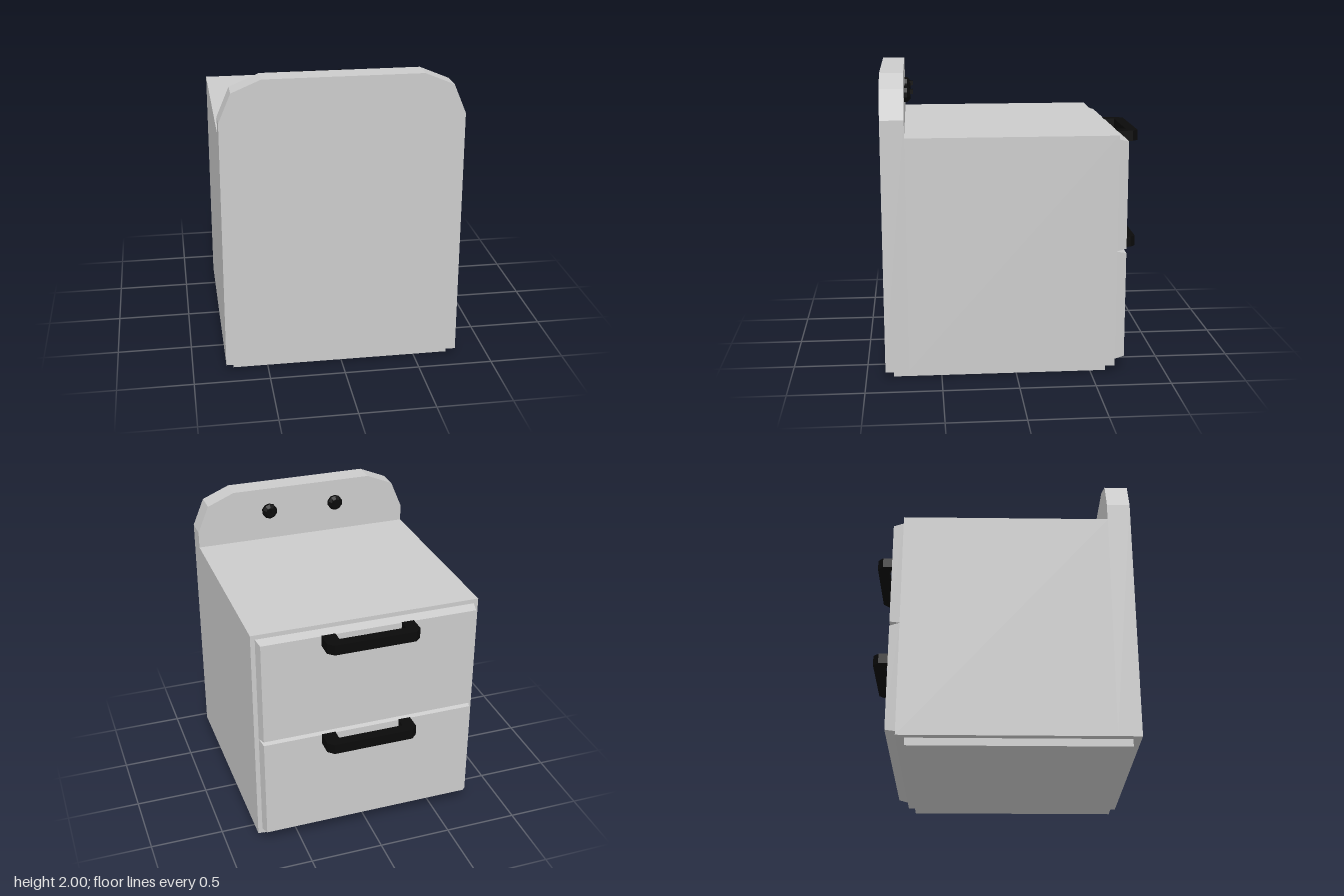
import * as THREE from 'three';

const grey = new THREE.MeshStandardMaterial({ color: 0xcccccc, flatShading: true });
const black = new THREE.MeshStandardMaterial({ color: 0x0a0a0a, flatShading: true });

function add(parent, name, geometry, material) {
  const mesh = new THREE.Mesh(geometry, material);
  mesh.name = name;
  parent.add(mesh);
  return mesh;
}

// Box given by its limits on each axis
function box(x0, x1, y0, y1, z0, z1) {
  return new THREE.BoxGeometry(x1 - x0, y1 - y0, z1 - z0)
    .translate((x0 + x1) / 2, (y0 + y1) / 2, (z0 + z1) / 2);
}

function extrude(points, depth) {
  const shape = new THREE.Shape(points.map(([x, y]) => new THREE.Vector2(x, y)));
  return new THREE.ExtrudeGeometry(shape, { depth, bevelEnabled: false });
}

// Drawer front whose outer face is inset on all four edges
function drawerGeometry(y0) {
  const geometry = box(-0.75, 0.75, y0, y0 + 0.75, -0.73, -0.66);
  const pos = geometry.attributes.position;
  const inset = 0.015, midY = y0 + 0.375;
  for (let i = 0; i < pos.count; i++) {
    if (pos.getZ(i) > -0.7) continue;
    pos.setX(i, pos.getX(i) - Math.sign(pos.getX(i)) * inset);
    pos.setY(i, pos.getY(i) - Math.sign(pos.getY(i) - midY) * inset);
  }
  geometry.computeVertexNormals();
  return geometry;
}

// U-shaped handle drawn in plan, thickened upwards
function handleGeometry() {
  return extrude([
    [-0.295, 0.725], [-0.21, 0.725], [-0.21, 0.8], [0.24, 0.8], [0.24, 0.725],
    [0.335, 0.725], [0.335, 0.835], [0.295, 0.873], [-0.255, 0.873], [-0.295, 0.835],
  ], 0.07).rotateX(-Math.PI / 2);
}

export function createModel() {
  const model = new THREE.Group();
  model.name = 'cabinet';

  // Carcass and recessed plinth
  add(model, 'plinth', box(-0.73, 0.73, 0, 0.05, -0.605, 0.82), grey);
  add(model, 'carcass', box(-0.78, 0.78, 0.05, 1.615, -0.66, 0.72), grey);

  // Tall panel with faceted upper corners
  const half = [[0.78, 0.05], [0.78, 1.73], [0.7, 1.92], [0.51, 2]];
  const outline = [...half, ...half.map(([x, y]) => [-x, y]).reverse()];
  add(model, 'uprightPanel', extrude(outline, 0.155).translate(0, 0, 0.718), grey);

  // Two drawers with handles near their top edges
  ['lower', 'upper'].forEach((level, i) => {
    const y0 = 0.085 + i * 0.75;
    add(model, level + 'Drawer', drawerGeometry(y0), grey);
    add(model, level + 'Handle', handleGeometry(), black).position.y = y0 + 0.667;
  });

  // Pair of stepped knobs on the panel
  const profile = [[0, 0], [0.055, 0], [0.055, 0.02], [0.035, 0.042], [0, 0.042]]
    .map(([r, y]) => new THREE.Vector2(r, y));
  for (const side of [-1, 1]) {
    const knob = new THREE.Group();
    knob.name = side < 0 ? 'rightKnob' : 'leftKnob';
    knob.position.set(side * 0.25, 1.83, 0.718);
    const base = new THREE.LatheGeometry(profile, 10).rotateX(-Math.PI / 2);
    add(knob, 'knobBase', base, black);
    const nub = box(-0.015, 0.015, 0, 0.03, -0.062, -0.035);
    add(knob, 'knobPointer', nub, black).position.x = -side * 0.014;
    model.add(knob);
  }
  return model;
}
